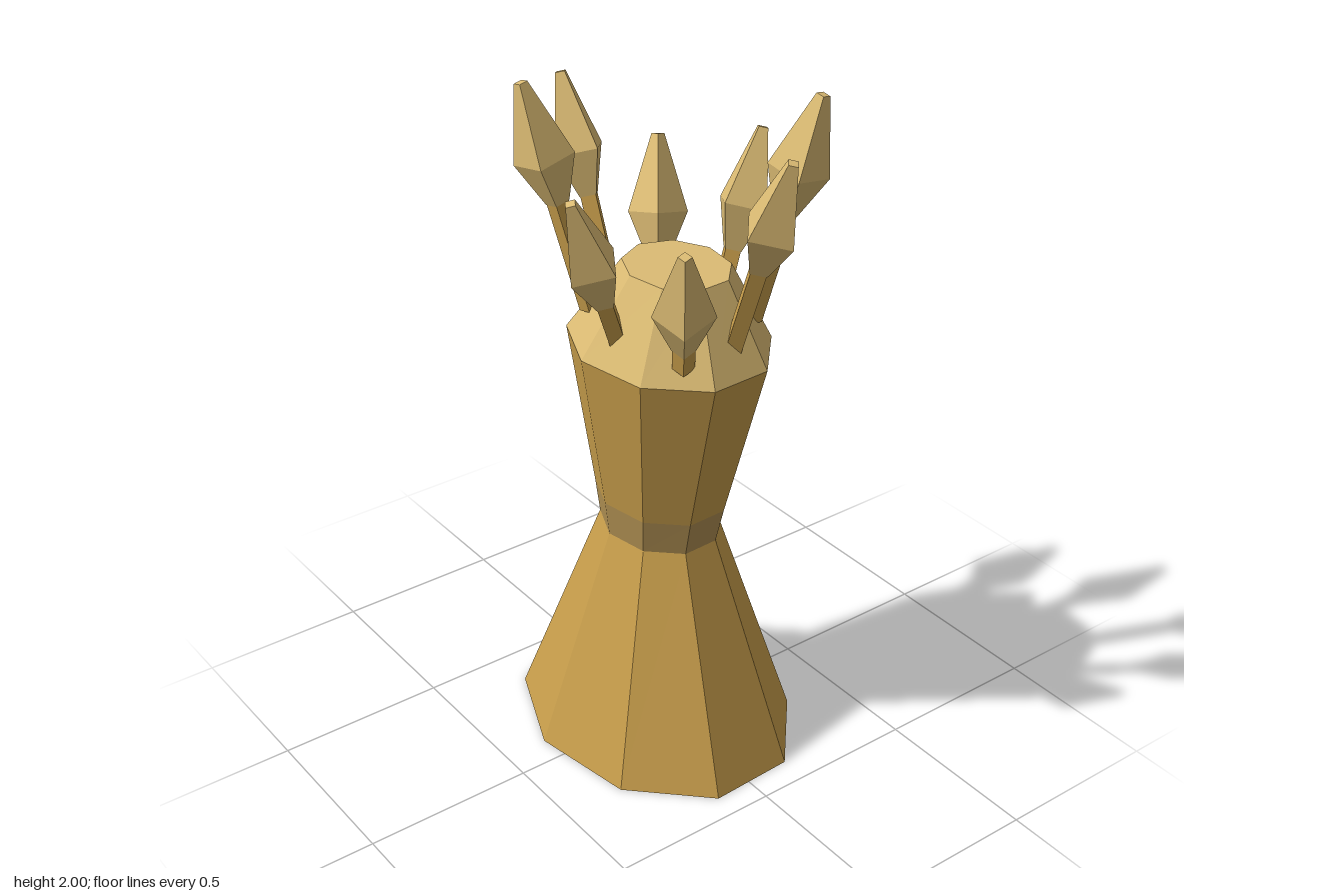
import * as THREE from 'three';

const SIDES = 9;
const mat = (name, color) => {
  const m = new THREE.MeshStandardMaterial({ color });
  m.name = name;
  return m;
};

// Nine-sided oval ring: centre x, height, x radius, z radius
function ring([cx, y, rx, rz]) {
  return Array.from({ length: SIDES }, (_, k) => {
    const a = THREE.MathUtils.degToRad(40 * k - 2);
    return [cx - rx * Math.cos(a), y, -rz * Math.sin(a)];
  });
}

// Faceted wall between two rings, optionally closed below or above
function loft(lower, upper, closeBottom, closeTop) {
  const lo = ring(lower), up = ring(upper), pos = [];
  const tri = (...pts) => pts.forEach(p => pos.push(...p));
  for (let k = 0; k < SIDES; k++) {
    const n = (k + 1) % SIDES;
    tri(lo[n], lo[k], up[k]);
    tri(lo[n], up[k], up[n]);
    if (closeBottom) tri([lower[0], lower[1], 0], lo[k], lo[n]);
    if (closeTop) tri([upper[0], upper[1], 0], up[n], up[k]);
  }
  const g = new THREE.BufferGeometry();
  g.setAttribute('position', new THREE.Float32BufferAttribute(pos, 3));
  g.computeVertexNormals();
  return g;
}

// Four-sided faceted solid along y from a list of [radius, height]
function prism(profile) {
  const pts = profile.map(([r, y]) => new THREE.Vector2(r, y));
  const g = new THREE.LatheGeometry(pts, 4).toNonIndexed();
  g.computeVertexNormals();
  return g;
}

export function createModel() {
  const model = new THREE.Group();
  const gold = mat('gold', 0xc99f4c);
  const brown = mat('brownBand', 0xb39254);
  const pale = mat('paleGold', 0xdcbc74);

  const add = (parent, name, geo, material) => {
    const mesh = new THREE.Mesh(geo, material);
    mesh.name = name;
    parent.add(mesh);
  };

  // Body: flared skirt, waist band, upper column and bevelled cap
  const base = [-0.02, 0, 0.47, 0.373];
  const waist = [-0.006, 0.68, 0.195, 0.16];
  const bandTop = [0.002, 0.79, 0.215, 0.177];
  const shoulder = [0.038, 1.28, 0.318, 0.263];
  const crown = [0.069, 1.515, 0.165, 0.138];
  add(model, 'skirt', loft(base, waist, true, false), gold);
  add(model, 'waistBand', loft(waist, bandTop, false, false), brown);
  add(model, 'column', loft(bandTop, shoulder, false, false), gold);
  add(model, 'cap', loft(shoulder, crown, false, true), pale);

  // Spikes: stem foot and tip; each has a partner half a turn around x = 0.04
  const spikes = [
    { foot: [0.062, 1.35, 0.19], tip: [0.093, 1.792, 0.35] },
    { foot: [0.262, 1.33, 0.125], tip: [0.376, 1.715, 0.21] },
    { foot: [0.277, 1.35, -0.027], tip: [0.467, 1.925, -0.047] },
    { foot: [0.195, 1.36, -0.152], tip: [0.302, 1.996, -0.28] },
  ];
  const BUD = 0.34;
  for (const { foot, tip } of spikes) {
    for (const s of [1, -1]) {
      const place = ([x, y, z]) => new THREE.Vector3(0.04 + s * (x - 0.04), y, s * z);
      const a = place(foot), b = place(tip);
      const axis = b.clone().sub(a);
      const len = axis.length();
      axis.normalize();
      // Turn a corner of the square section to the outward lean
      const out = new THREE.Vector3(axis.x, 0, axis.z);
      const side = new THREE.Vector3().crossVectors(axis, out).normalize();
      const face = new THREE.Vector3().crossVectors(side, axis);
      const spike = new THREE.Group();
      spike.name = 'spike';
      spike.position.copy(a);
      spike.quaternion.setFromRotationMatrix(new THREE.Matrix4().makeBasis(side, axis, face));

      const start = len - BUD;
      add(spike, 'stem', prism([[0, 0], [0.03, 0], [0.03, start + 0.03], [0, start + 0.03]]), gold);
      add(spike, 'bud', prism([
        [0, start], [0.032, start], [0.083, start + 0.37 * BUD], [0.018, len], [0, len],
      ]), pale);
      model.add(spike);
    }
  }
  return model;
}
